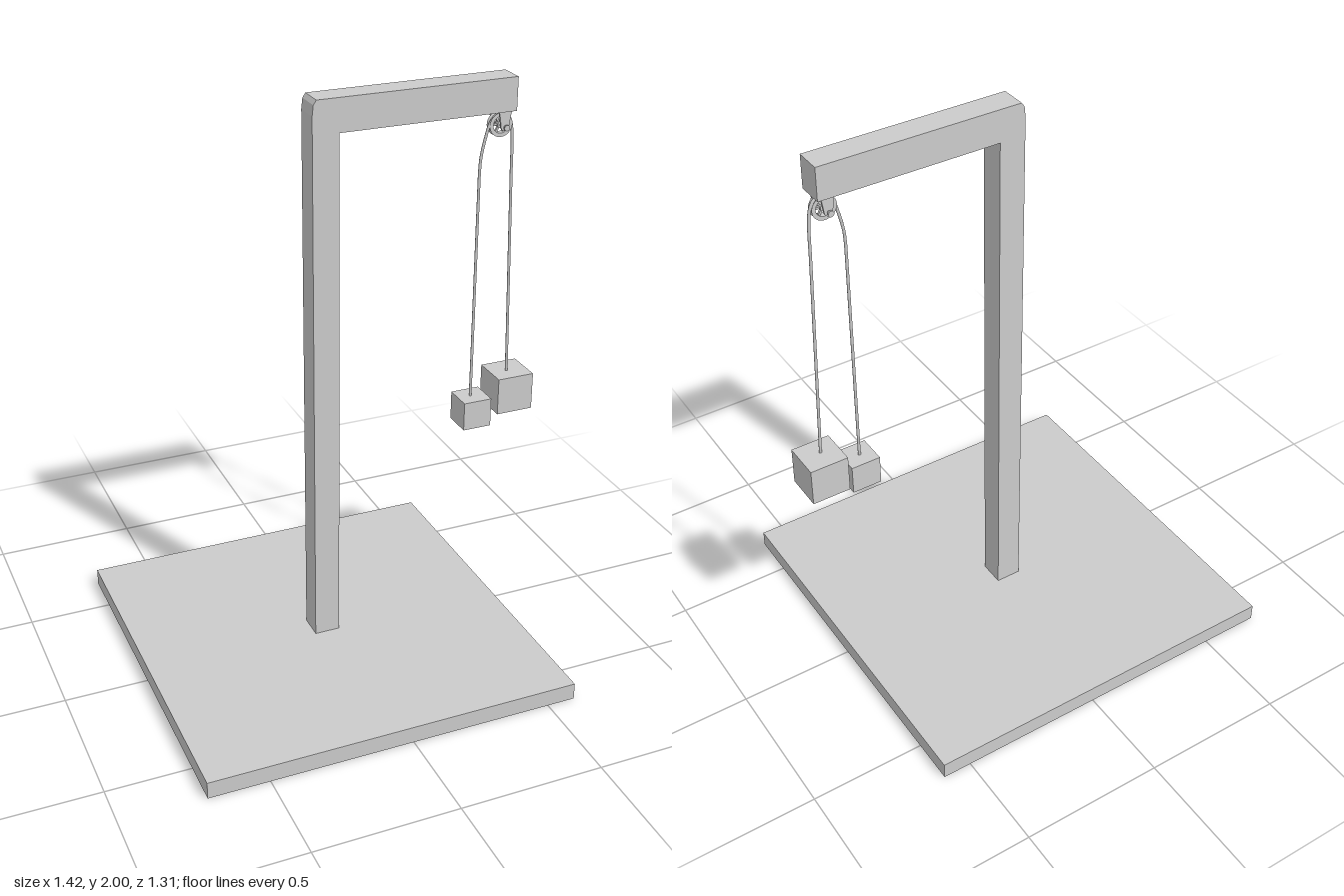
import * as THREE from 'three';

const mat = new THREE.MeshStandardMaterial({ color: 0xcccccc, side: THREE.DoubleSide });
const flat = new THREE.MeshStandardMaterial({ color: 0xcccccc, flatShading: true });

export function createModel() {
  const model = new THREE.Group();
  const add = (name, geometry, material, x = 0, y = 0, z = 0, parent = model) => {
    const mesh = new THREE.Mesh(geometry, material);
    mesh.name = name;
    mesh.position.set(x, y, z);
    parent.add(mesh);
    return mesh;
  };
  // box given by its minimum and maximum corners
  const box = (name, a, b) => add(name,
    new THREE.BoxGeometry(b[0] - a[0], b[1] - a[1], b[2] - a[2]), flat,
    (a[0] + b[0]) / 2, (a[1] + b[1]) / 2, (a[2] + b[2]) / 2);

  box('base', [-0.71, 0, -0.655], [0.6, 0.06, 0.655]);

  // post and arm in one piece, with a chamfered top corner
  const outline = [[-0.1, 0.06], [-0.01, 0.06], [-0.01, 1.888], [0.605, 1.888],
    [0.605, 2], [-0.086, 2], [-0.096, 1.985], [-0.1, 1.95]];
  const frame = new THREE.Shape(outline.map(([x, y]) => new THREE.Vector2(x, y)));
  add('postAndArm', new THREE.ExtrudeGeometry(frame, { depth: 0.09, bevelEnabled: false }), flat, 0, 0, -0.045);

  // pulley: grooved ring with a hub and spokes, turning about z
  const pulley = new THREE.Group();
  pulley.name = 'pulley';
  pulley.position.set(0.567, 1.838, 0.003);
  model.add(pulley);
  const rim = [[0.028, -0.011], [0.041, -0.011], [0.034, -0.003], [0.034, 0.003],
    [0.041, 0.011], [0.028, 0.011], [0.028, -0.011]];
  add('rim', new THREE.LatheGeometry(rim.map(([r, y]) => new THREE.Vector2(r, y)), 32), flat.clone(), 0, 0, 0, pulley)
    .rotation.x = Math.PI / 2;
  pulley.children[0].material.side = THREE.DoubleSide;
  const rod = (name, r, length, z = 0) => {
    add(name, new THREE.CylinderGeometry(r, r, length, 20), mat, 0, 0, z, pulley).rotation.x = Math.PI / 2;
  };
  rod('hub', 0.012, 0.02);
  rod('axle', 0.005, 0.106);
  for (let i = 0; i < 3; i++) {
    add('spoke', new THREE.BoxGeometry(0.062, 0.007, 0.008), flat, 0, 0, 0, pulley).rotation.z = i * Math.PI / 3;
  }

  // hanger plates on both sides of the pulley, with axle nuts
  const plate = new THREE.Shape();
  plate.moveTo(-0.022, 0.052);
  plate.lineTo(-0.014, 0);
  plate.absarc(0, 0, 0.014, Math.PI, Math.PI * 2, false);
  plate.lineTo(0.022, 0.052);
  for (const s of [-1, 1]) {
    add('hangerPlate', new THREE.ExtrudeGeometry(plate, { depth: 0.007, bevelEnabled: false }), flat,
      0, 0, s * 0.034 - 0.0035, pulley);
    rod('axleNut', 0.01, 0.006, s * 0.05);
  }
  add('hangerTop', new THREE.BoxGeometry(0.044, 0.007, 0.075), flat, 0, 0.049, 0, pulley);

  // rope over the pulley
  const z = 0.005;
  const path = new THREE.CurvePath();
  const v = ([x, y]) => new THREE.Vector3(x, y, z);
  const over = [[0.5, 1.68], [0.503, 1.73], [0.515, 1.79], [0.532, 1.845], [0.55, 1.868],
    [0.57, 1.876], [0.592, 1.866], [0.607, 1.84], [0.614, 1.79], [0.617, 1.68]].map(v);
  path.add(new THREE.LineCurve3(v([0.5, 0.86]), over[0]));
  path.add(new THREE.CatmullRomCurve3(over));
  path.add(new THREE.LineCurve3(over[9], v([0.638, 0.935])));
  add('rope', new THREE.TubeGeometry(path, 160, 0.005, 8), mat);

  // hanging weights
  box('smallWeight', [0.452, 0.77, -0.045], [0.555, 0.873, 0.058]);
  box('largeWeight', [0.577, 0.812, -0.066], [0.71, 0.945, 0.066]);
  return model;
}
